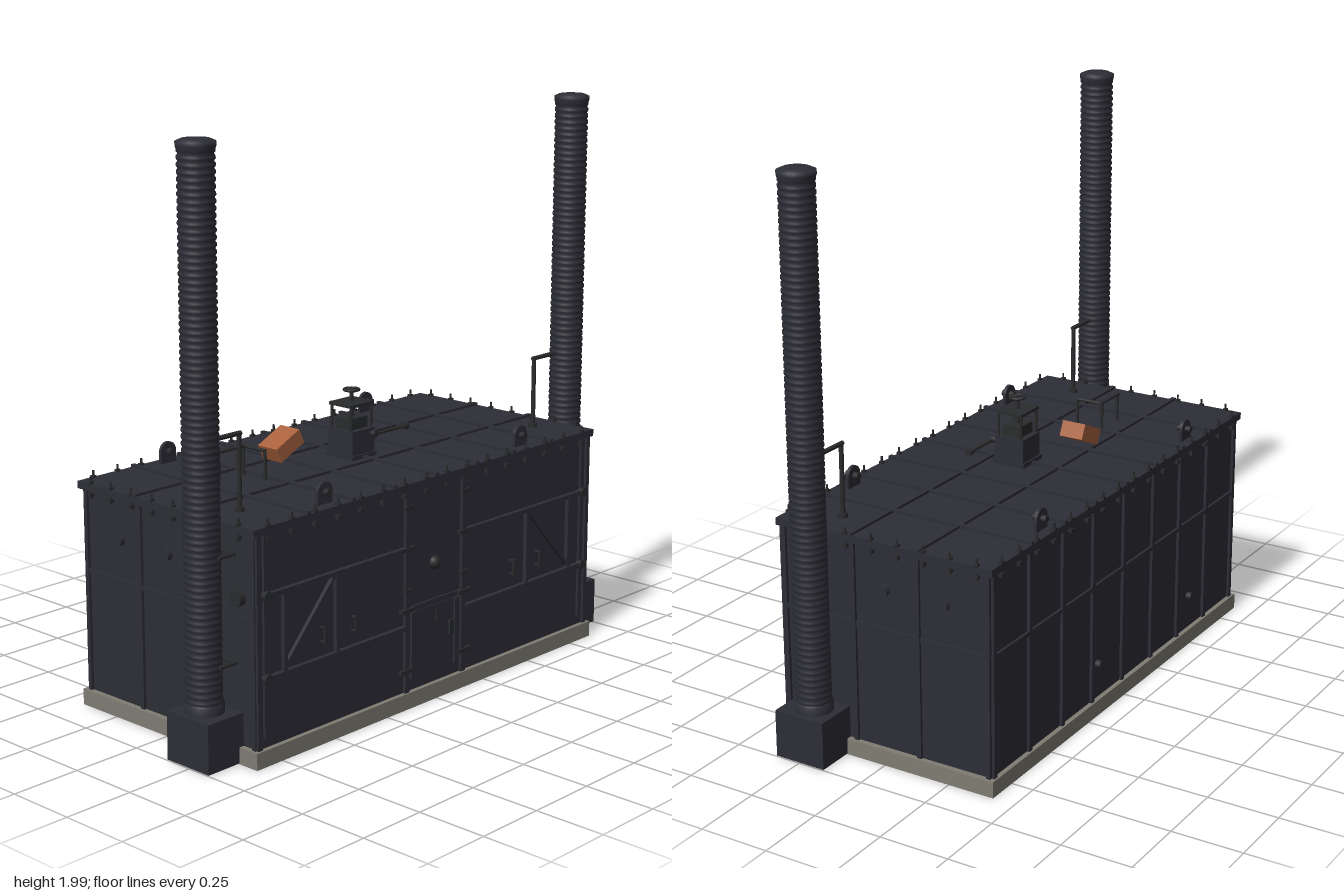
import * as THREE from 'three';

export function createModel() {
  const root = new THREE.Group();
  const steel = new THREE.MeshStandardMaterial({ name: 'dark steel', color: 0x2d2d36 });
  const iron = new THREE.MeshStandardMaterial({ name: 'iron fittings', color: 0x2a2b2c });
  const concrete = new THREE.MeshStandardMaterial({ name: 'concrete', color: 0x7f7c72 });
  const clay = new THREE.MeshStandardMaterial({ name: 'fired clay', color: 0xa9623e });

  function add(name, geo, mat, x, y, z, parent = root) {
    const m = new THREE.Mesh(geo, mat);
    m.name = name;
    m.position.set(x, y, z);
    parent.add(m);
    return m;
  }
  // box given by its min and max on each axis
  const box = (name, x0, x1, y0, y1, z0, z1, mat = steel, parent = root) =>
    add(name, new THREE.BoxGeometry(x1 - x0, y1 - y0, z1 - z0), mat,
      (x0 + x1) / 2, (y0 + y1) / 2, (z0 + z1) / 2, parent);
  // cylinder along a chosen axis, centred at x, y, z
  function rod(name, axis, r, len, x, y, z, mat = iron, parent = root, sides = 12) {
    const g = new THREE.CylinderGeometry(r, r, len, sides);
    if (axis === 'x') g.rotateZ(Math.PI / 2);
    if (axis === 'z') g.rotateX(Math.PI / 2);
    return add(name, g, mat, x, y, z, parent);
  }
  const knob = (name, r, x, y, z, mat = steel) =>
    add(name, new THREE.SphereGeometry(r, 16, 10), mat, x, y, z);

  // Slab, kiln body and lid
  box('baseSlab', -0.865, 0.865, 0, 0.057, -0.42, 0.42, concrete);
  box('body', -0.845, 0.845, 0.057, 0.77, -0.403, 0.403);
  box('lid', -0.865, 0.865, 0.765, 0.79, -0.42, 0.415);

  // Roof ribs
  const ribX = [-0.62, -0.41, -0.21, 0, 0.21, 0.41, 0.62];
  for (const x of ribX) box('roofRib', x - 0.008, x + 0.008, 0.79, 0.8, -0.42, 0.415);
  for (const z of [-0.14, 0.12]) box('roofRib', -0.865, 0.865, 0.79, 0.799, z - 0.008, z + 0.008);

  // Back wall ribs and sight plugs
  for (const x of [-0.835, ...ribX, 0.835])
    box('backRib', x - 0.009, x + 0.009, 0.057, 0.765, -0.413, -0.4);
  box('backRail', -0.845, 0.845, 0.472, 0.488, -0.412, -0.4);
  for (const x of [-0.5, 0.17]) rod('backPlug', 'z', 0.014, 0.02, x, 0.185, -0.412, steel);

  // Clamp studs around the lid
  const stud = (x, z) => {
    rod('lidStud', 'y', 0.004, 0.075, x, 0.777, z, iron, root, 6);
    box('studNut', x - 0.008, x + 0.008, 0.787, 0.797, z - 0.007, z + 0.007, iron);
    box('studFoot', x - 0.008, x + 0.008, 0.745, 0.757, z - 0.007, z + 0.007, iron);
  };
  for (let i = 0; i <= 15; i++) {
    const x = -0.8 + i * 1.6 / 15;
    stud(x, -0.414);
    stud(x, 0.41);
  }
  for (let i = 0; i < 8; i++) for (const s of [-1, 1]) stud(s * 0.858, -0.36 + i * 0.1);

  // Features repeated on both halves
  for (const s of [-1, 1]) {
    const side = new THREE.Group();
    side.name = s > 0 ? 'leftHalf' : 'rightHalf';
    root.add(side);
    // box from mirrored x bounds
    const sb = (name, a, b, y0, y1, z0, z1, mat = steel) =>
      box(name, Math.min(s * a, s * b), Math.max(s * a, s * b), y0, y1, z0, z1, mat, side);

    // Side wall ribs and plugs
    for (const z of [-0.395, -0.13, 0.12, 0.395]) sb('sideRib', 0.84, 0.855, 0.057, 0.765, z - 0.008, z + 0.008);
    sb('sideRail', 0.84, 0.854, 0.472, 0.488, -0.403, 0.403);
    for (const z of [0, -0.23]) rod('sidePlug', 'x', 0.02, 0.024, s * 0.85, 0.622, z, steel, side, 18);

    // Front corner post and panel frame
    sb('cornerPost', 0.8, 0.82, 0.09, 0.765, 0.4, 0.412);
    sb('cornerStrip', 0.832, 0.85, 0.057, 0.765, 0.39, 0.412);
    for (const y of [0.29, 0.565]) sb('doorRail', 0.155, 0.825, y - 0.008, y + 0.008, 0.4, 0.42);
    for (const x of [0.73, 0.49]) sb('doorStile', x - 0.007, x + 0.007, 0.29, 0.565, 0.4, 0.418);
    const brace = sb('doorBrace', -0.172, 0.172, -0.006, 0.006, 0.4, 0.416);
    brace.position.set(s * 0.615, 0.432, 0.408);
    brace.rotation.z = -s * Math.atan2(0.25, 0.23);
    for (const y of [0.29, 0.565]) rod('railBolt', 'z', 0.017, 0.026, s * 0.81, y, 0.41, iron, side);

    // Pull handles
    for (const x of [0.41, 0.555]) {
      rod('pullHandle', 'y', 0.005, 0.06, s * x, 0.372, 0.42, iron, side, 8);
      for (const y of [0.348, 0.396]) rod('handleMount', 'z', 0.004, 0.022, s * x, y, 0.41, iron, side, 8);
    }

    // Central door posts, frame and clamps
    sb('doorPost', 0.134, 0.156, 0.057, 0.765, 0.4, 0.414);
    sb('hatchStile', 0.1, 0.124, 0.1, 0.335, 0.4, 0.414);
    for (const y of [0.35, 0.565, 0.135]) sb('doorClamp', 0.115, 0.18, y - 0.007, y + 0.007, 0.405, 0.42, iron);
    for (const y of [0.42, 0.71]) sb('doorLug', 0.126, 0.164, y - 0.006, y + 0.006, 0.405, 0.42, iron);

    // Flue box and corrugated chimney
    sb('flueBox', 0.845, 1, 0.003, 0.17, 0.15, 0.34);
    const pts = [new THREE.Vector2(0.065, 0.168), new THREE.Vector2(0.065, 0.198)];
    const rings = 80;
    for (let i = 0; i < rings; i++) {
      const y = 0.2 + i * 1.765 / rings;
      pts.push(new THREE.Vector2(0.055, y), new THREE.Vector2(0.06, y + 0.007), new THREE.Vector2(0.06, y + 0.015));
    }
    pts.push(new THREE.Vector2(0.063, 1.968), new THREE.Vector2(0.063, 1.98),
      new THREE.Vector2(0.045, 1.988), new THREE.Vector2(0, 1.99));
    add('chimney', new THREE.LatheGeometry(pts, 24), steel, s * 0.92, 0, 0.24, side);

    // Chimney straps and wall fitting
    for (const y of [0.33, 0.69]) {
      rod('chimneyStrap', 'x', 0.007, 0.075, s * 0.878, y, 0.309, iron, side, 8);
      sb('strapTail', 0.843, 0.858, y - 0.007, y + 0.007, 0.24, 0.312, iron);
    }
    rod('wallFitting', 'x', 0.026, 0.025, s * 0.856, 0.55, 0.33, iron, side, 16);

    // Elbow pipe from lid to chimney
    rod('riserPipe', 'y', 0.008, 0.26, s * 0.745, 0.915, 0.23, iron, side);
    rod('crossPipe', 'x', 0.008, 0.14, s * 0.807, 1.045, 0.23, iron, side);
    rod('pipeFlange', 'y', 0.016, 0.016, s * 0.745, 0.797, 0.23, iron, side);

    // Lifting lugs
    for (const z of [-0.375, 0.365]) {
      rod('liftingLug', 'z', 0.034, 0.012, s * 0.5, 0.83, z, steel, side, 24);
      sb('lugFoot', 0.466, 0.534, 0.788, 0.83, z - 0.006, z + 0.006);
      rod('lugPin', 'z', 0.012, 0.05, s * 0.5, 0.83, z, iron, side);
    }
  }

  // Central door: spy knob, lower hatch and latch
  box('doorRailMid', -0.134, 0.134, 0.343, 0.357, 0.4, 0.41);
  box('doorRailTop', -0.134, 0.134, 0.752, 0.766, 0.4, 0.411);
  knob('spyKnob', 0.024, 0, 0.485, 0.402, iron);
  box('hatchPlate', -0.1, 0.1, 0.1, 0.335, 0.4, 0.406);
  rod('hatchHandle', 'y', 0.004, 0.04, 0, 0.298, 0.416, iron);
  box('hatchLatch', 0.072, 0.092, 0.21, 0.26, 0.404, 0.416, iron);

  // Valve on the lid
  const valve = new THREE.Group();
  valve.name = 'valve';
  valve.position.set(0, 0, 0.02);
  root.add(valve);
  box('valvePlate', -0.062, 0.062, 0.79, 0.806, -0.062, 0.062, steel, valve);
  box('valveBody', -0.056, 0.056, 0.8, 0.89, -0.056, 0.056, steel, valve);
  box('valveCap', -0.044, 0.044, 0.89, 0.93, -0.035, 0.035, iron, valve);
  for (const x of [-0.05, 0.05]) for (const z of [-0.045, 0.045])
    rod('yokePost', 'y', 0.005, 0.1, x, 0.935, z, iron, valve, 8);
  box('yokePlate', -0.058, 0.058, 0.973, 0.983, -0.052, 0.052, iron, valve);
  rod('valveStem', 'y', 0.007, 0.12, 0, 0.97, 0, iron, valve);
  const wheel = add('handWheel', new THREE.TorusGeometry(0.026, 0.005, 8, 24), iron, 0, 1.024, 0, valve);
  wheel.rotation.x = Math.PI / 2;
  rod('wheelSpoke', 'x', 0.004, 0.052, 0, 1.024, 0, iron, valve, 8);
  rod('wheelSpoke', 'z', 0.004, 0.052, 0, 1.024, 0, iron, valve, 8);
  rod('leverArm', 'x', 0.006, 0.16, 0.115, 0.87, 0.07, iron, valve, 8);
  rod('leverPivot', 'z', 0.012, 0.025, 0.045, 0.87, 0.064, iron, valve);
  rod('leverWeight', 'x', 0.012, 0.025, 0.198, 0.87, 0.07, iron, valve);

  // Bent handrail on the lid
  rod('railBar', 'x', 0.006, 0.14, -0.495, 0.89, -0.07);
  rod('railBar', 'z', 0.006, 0.1, -0.43, 0.89, -0.02);
  for (const [x, z] of [[-0.55, -0.07], [-0.435, -0.07], [-0.43, 0.028]])
    rod('railLeg', 'y', 0.006, 0.1, x, 0.84, z);

  // Tilted brick left on the lid
  const brick = add('brick', new THREE.BoxGeometry(0.122, 0.056, 0.09), clay, -0.22, 0.85, -0.105);
  brick.rotation.z = 0.44;

  return root;
}
